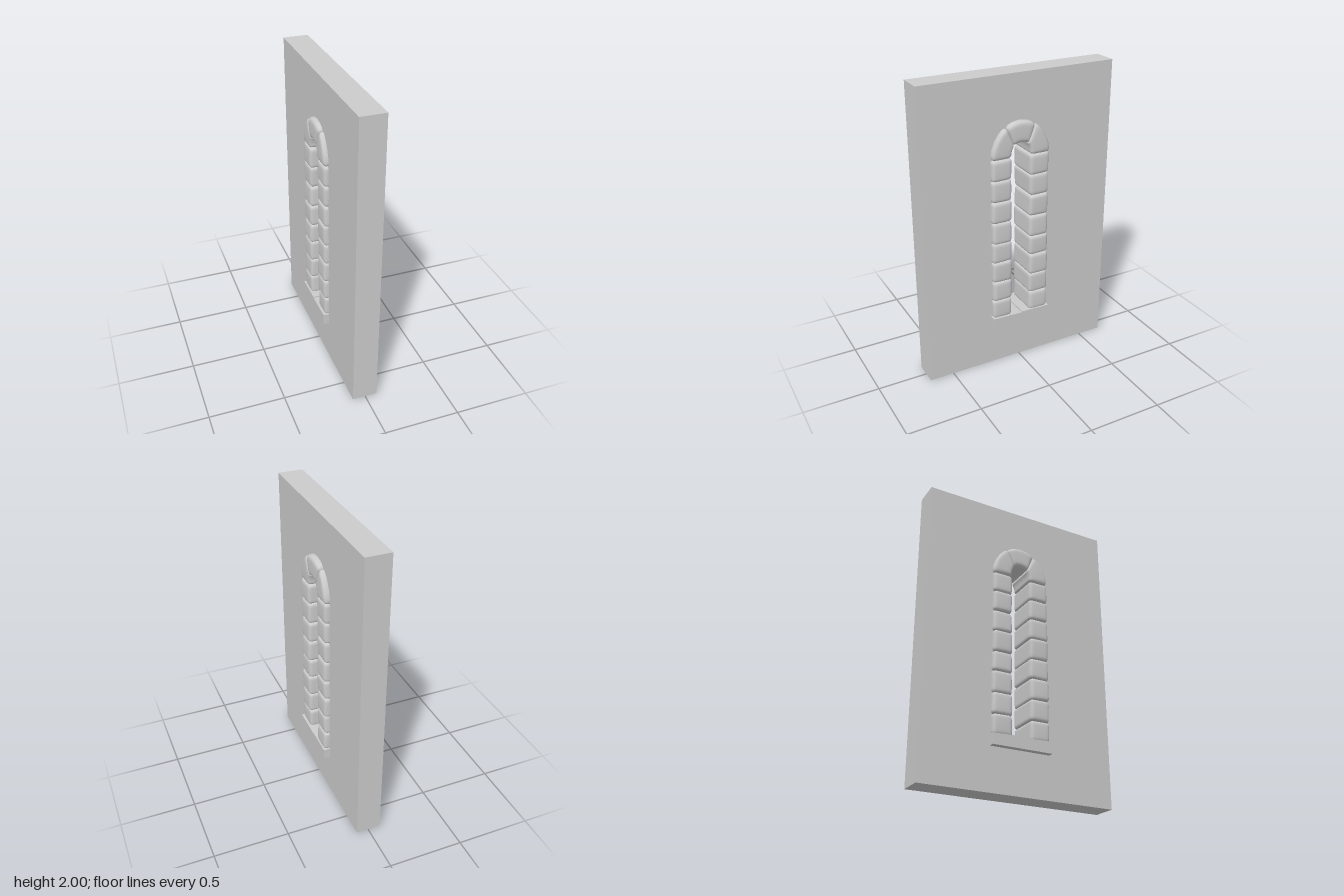
import * as THREE from 'three';
import { mergeVertices } from 'three/addons/utils/BufferGeometryUtils.js';

const material = new THREE.MeshStandardMaterial({ color: 0xcccccc });
const SPRING = 1.475; // height where the arch begins

let seed = 7;
const jitter = (a) => {
  seed = (seed * 16807) % 2147483647;
  return (seed / 2147483647 - 0.5) * 2 * a;
};

function addMesh(group, name, geometry) {
  const mesh = new THREE.Mesh(geometry, material);
  mesh.name = name;
  group.add(mesh);
  return mesh;
}

// Worn block of nominal size; outline(u, v) with u, v in -1..1 places its section as [z, y]
function stoneGeometry(depth, height, width, radius, outline) {
  const box = new THREE.BoxGeometry(2, 2, 2, 12, 10, 10);
  box.deleteAttribute('uv');
  box.deleteAttribute('normal');
  const geo = mergeVertices(box, 1e-4);
  const pos = geo.attributes.position;
  const half = new THREE.Vector3(depth / 2, height / 2, width / 2);
  const core = half.clone().subScalar(radius);
  const p = new THREE.Vector3(), q = new THREE.Vector3();
  const crowd = (t) => Math.sign(t) * Math.abs(t) ** 0.55; // finer rows near the edges
  const lean = jitter(0.006);
  for (let i = 0; i < pos.count; i++) {
    p.fromBufferAttribute(pos, i);
    p.set(crowd(p.x), crowd(p.y), crowd(p.z)).multiply(half);
    q.copy(p).clamp(core.clone().negate(), core);
    p.sub(q).setLength(radius).add(q);
    const u = p.z / half.z, v = p.y / half.y;
    const [z, y] = outline(u, v);
    // exposed faces swell gently in the middle
    const swell = 1 - 0.05 * (u * u + v * v) / 2;
    pos.setXYZ(i, p.x * swell + lean * v * 0.5, y, z);
  }
  geo.computeVertexNormals();
  return geo;
}

// Straight-sided block with slightly uneven corners
function quadOutline(z0, z1, y0, y1, wobble) {
  const corner = (z, y) => [z + jitter(wobble), y + jitter(wobble)];
  const a = corner(z0, y0), b = corner(z1, y0), c = corner(z0, y1), d = corner(z1, y1);
  return (u, v) => {
    const s = (u + 1) / 2, t = (v + 1) / 2;
    return [0, 1].map((k) =>
      (a[k] * (1 - s) + b[k] * s) * (1 - t) + (c[k] * (1 - s) + d[k] * s) * t);
  };
}

// Point on a rounded arch; a power below 1 squares its shoulders
function archPoint(degrees, rz, ry, power) {
  const a = THREE.MathUtils.degToRad(degrees);
  const bend = (t) => Math.sign(t) * Math.abs(t) ** power;
  return [rz * bend(Math.cos(a)), SPRING + ry * bend(Math.sin(a))];
}

function archOutline(outer0, outer1, inner0, inner1) {
  return (u, v) => {
    const s = (u + 1) / 2, t = (v + 1) / 2;
    const o = archPoint(THREE.MathUtils.lerp(outer0, outer1, t), 0.203, 0.232, 1);
    const n = archPoint(THREE.MathUtils.lerp(inner0, inner1, t), 0.066, 0.093, 0.7);
    return [n[0] + (o[0] - n[0]) * s, n[1] + (o[1] - n[1]) * s];
  };
}

export function createModel() {
  const model = new THREE.Group();
  model.name = 'archedWindowWall';

  // Wall slab, pierced behind the stone surround
  const slab = new THREE.Shape();
  slab.moveTo(-0.665, 0).lineTo(0.665, 0).lineTo(0.665, 2).lineTo(-0.665, 2).closePath();
  const hole = new THREE.Path();
  hole.moveTo(-0.13, 0.32).lineTo(-0.13, SPRING);
  hole.absellipse(0, SPRING, 0.13, 0.16, Math.PI, 0, true);
  hole.lineTo(0.13, 0.32).closePath();
  slab.holes.push(hole);
  const wall = new THREE.ExtrudeGeometry(slab, { depth: 0.165, bevelEnabled: false, curveSegments: 24 });
  wall.translate(0, 0, -0.08).rotateY(-Math.PI / 2);
  addMesh(model, 'wall', wall);

  // Jamb stones on both sides of the opening
  const courses = [0.355, 0.487, 0.627, 0.77, 0.908, 1.052, 1.195, 1.337, SPRING];
  for (const side of [1, -1]) {
    const jamb = new THREE.Group();
    jamb.name = side > 0 ? 'frontJamb' : 'backJamb';
    model.add(jamb);
    for (let i = 0; i < courses.length - 1; i++) {
      const [y0, y1] = [courses[i] - 0.001, courses[i + 1] + 0.001];
      const [z0, z1] = side > 0 ? [0.067, 0.204] : [-0.2, -0.063];
      addMesh(jamb, 'jambStone', stoneGeometry(0.234 + jitter(0.006), y1 - y0, z1 - z0,
        0.02, quadOutline(z0, z1, y0, y1, 0.003)));
    }
  }

  // Arch: two curved shoulder stones and a keystone
  const arch = new THREE.Group();
  arch.name = 'arch';
  model.add(arch);
  addMesh(arch, 'frontShoulder', stoneGeometry(0.236, 0.19, 0.135, 0.022, archOutline(0, 60, 0, 48)));
  addMesh(arch, 'keystone', stoneGeometry(0.24, 0.17, 0.135, 0.026, archOutline(59, 121, 47, 133)));
  addMesh(arch, 'backShoulder', stoneGeometry(0.236, 0.19, 0.135, 0.022, archOutline(120, 180, 132, 180)));

  // Sill: two crisp slabs meeting at the middle
  for (const [z0, z1] of [[0.001, 0.21], [-0.206, -0.001]]) {
    const sill = new THREE.BoxGeometry(0.25, 0.078, z1 - z0);
    const pos = sill.attributes.position;
    for (let i = 0; i < pos.count; i++) {
      // top dips slightly toward the joint on one slab and the end on the other
      if (pos.getY(i) > 0 && pos.getZ(i) < 0) pos.setY(i, pos.getY(i) - 0.006);
    }
    sill.computeVertexNormals();
    addMesh(model, 'sill', sill).position.set(0, 0.324, (z0 + z1) / 2);
  }
  return model;
}
